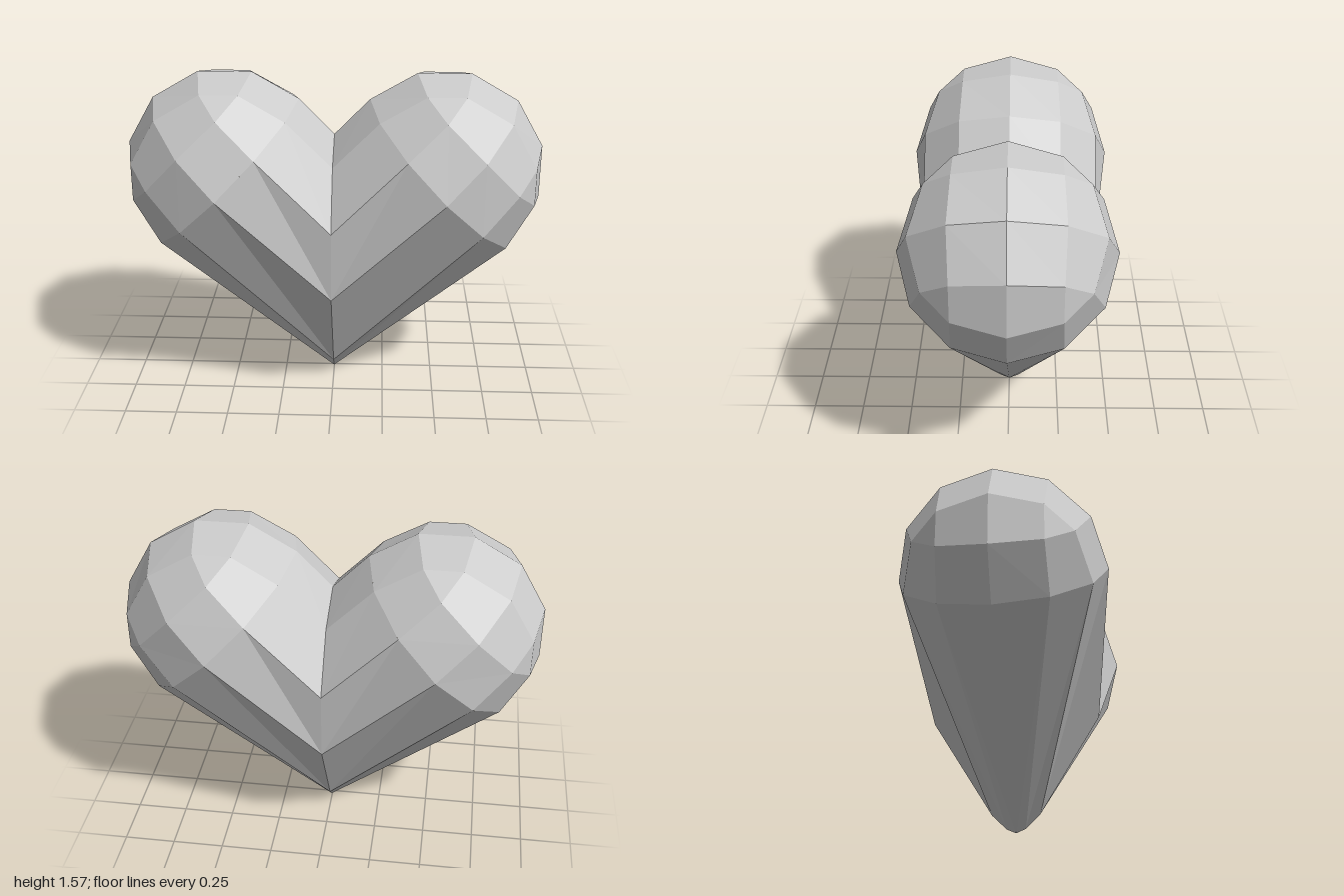
import * as THREE from 'three';

const R = 0.495, S = Math.SQRT1_2;
const CENTRE = new THREE.Vector3(0.52, 1.09, 0);
const INSIDE = new THREE.Vector3(0.35, 0.92, 0);

// Lobe coordinates: d along the slanted lobe axis, p across it, z to the front
const place = (d, p, z) => new THREE.Vector3(CENTRE.x + (d + p) * S, CENTRE.y + (d - p) * S, z);

// Adds a convex polygon as a fan, wound to face away from the lobe's inside
function addFace(out, pts) {
  const n = new THREE.Vector3();
  const mid = new THREE.Vector3();
  pts.forEach((a, i) => {
    const b = pts[(i + 1) % pts.length];
    n.add(a.clone().cross(b));
    mid.addScaledVector(a, 1 / pts.length);
  });
  const order = n.dot(mid.sub(INSIDE)) < 0 ? [...pts].reverse() : pts;
  for (let i = 1; i < order.length - 1; i++) {
    for (const v of [order[0], order[i], order[i + 1]]) out.push(v.x, v.y, v.z);
  }
}

// One eighth of the rounded end: three corner quads, three edge quads, one triangle
function addOctant(out, sp, sz) {
  const point = (c) => place(c[0] * R, c[1] * R * sp, c[2] * R * sz);
  const corner = (i) => point([0, 1, 2].map((k) => (k === i ? 1 : 0)));
  const edge = (i, j) => point([0, 1, 2].map((k) => (k === i ? 0.866 : k === j ? 0.5 : 0)));
  const inner = (i) => point([0, 1, 2].map((k) => (k === i ? 0.735 : 0.48)));
  for (let i = 0; i < 3; i++) {
    const j = (i + 1) % 3, k = (i + 2) % 3;
    addFace(out, [corner(i), edge(i, j), inner(i), edge(i, k)]);
    addFace(out, [edge(i, j), edge(j, i), inner(j), inner(i)]);
  }
  addFace(out, [inner(0), inner(1), inner(2)]);
}

// Seam on the centre plane, from the notch down to the tip: [y, z]
const SEAM = [[1.265, 0], [1.175, 0.245], [0.915, 0.425], [0.57, 0.405], [0.09, 0.115], [0.02, 0.045], [0, 0]];

function lobeGeometry() {
  const out = [];
  for (const sz of [1, -1]) {
    for (const sp of [1, -1]) addOctant(out, sp, sz);
    // Body running from the rounded end to the seam
    const rows = SEAM.map(([y, z], i) => {
      const a = (i * Math.PI) / 6;
      return [place(0, -R * Math.cos(a), R * Math.sin(a) * sz), new THREE.Vector3(0, y, z * sz)];
    });
    for (let i = 0; i < rows.length - 1; i++) {
      const [a, b] = rows[i], [c, e] = rows[i + 1];
      addFace(out, [a, b, e]);
      addFace(out, [a, e, c]);
    }
  }
  return out;
}

// Mirrors a triangle list across x = 0, keeping the faces outward
function mirrored(pos) {
  const out = [];
  for (let i = 0; i < pos.length; i += 9) {
    for (const k of [0, 6, 3]) out.push(-pos[i + k], pos[i + k + 1], pos[i + k + 2]);
  }
  return out;
}

export function createModel() {
  const group = new THREE.Group();
  group.name = 'heart';
  const material = new THREE.MeshStandardMaterial({ color: 0xcccccc, flatShading: true });
  const left = lobeGeometry();
  for (const [name, pos] of [['leftLobe', left], ['rightLobe', mirrored(left)]]) {
    const geometry = new THREE.BufferGeometry();
    geometry.setAttribute('position', new THREE.Float32BufferAttribute(pos, 3));
    geometry.computeVertexNormals();
    const mesh = new THREE.Mesh(geometry, material);
    mesh.name = name;
    group.add(mesh);
  }
  return group;
}
